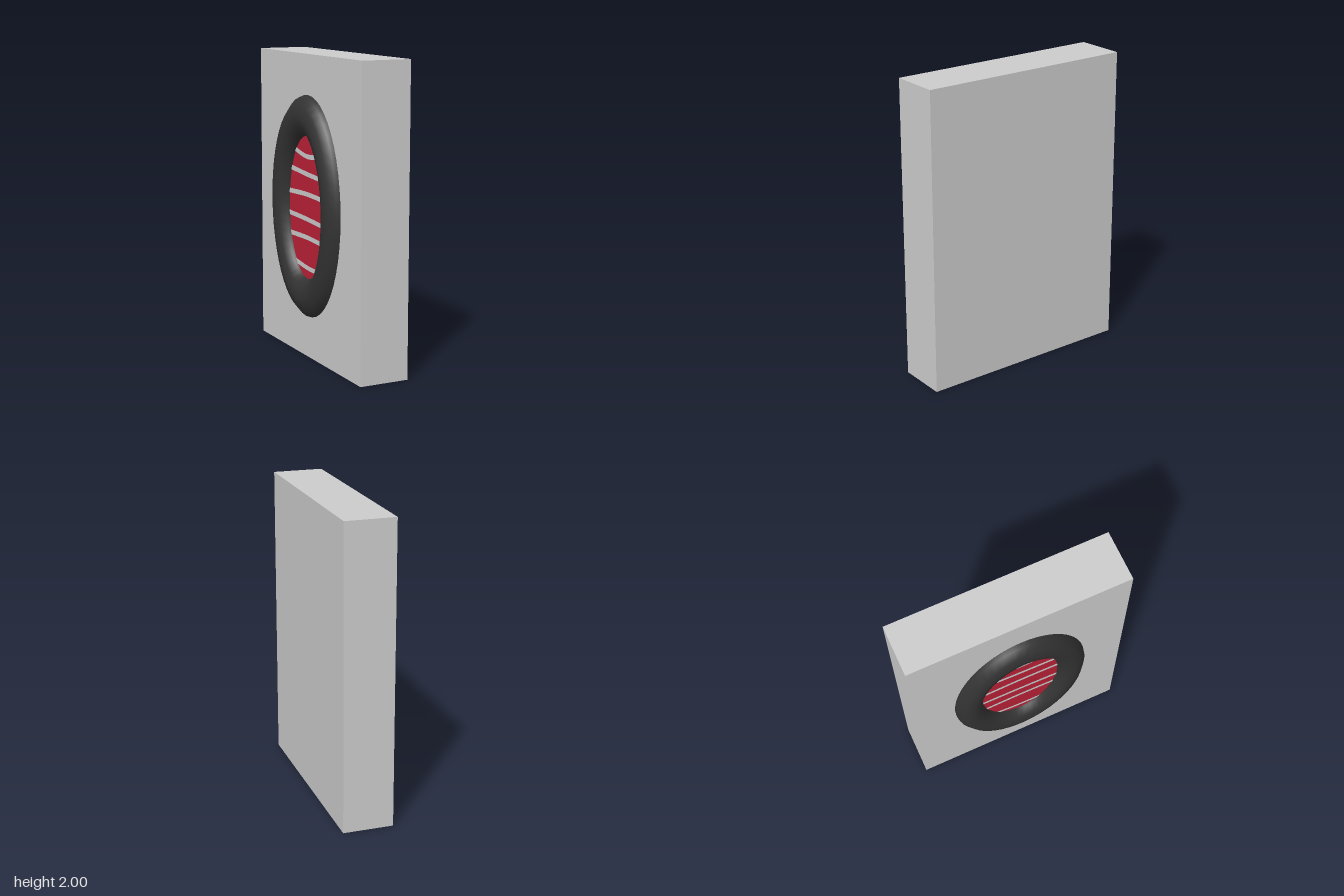
import * as THREE from 'three';
import { mergeVertices } from 'three/addons/utils/BufferGeometryUtils.js';

export function createModel() {
  const model = new THREE.Group();
  model.name = 'framedPanel';

  const grey = new THREE.MeshStandardMaterial({ color: 0xcccccc });
  grey.name = 'light grey';
  const black = new THREE.MeshStandardMaterial({ color: 0x333333 });
  black.name = 'black rubber';
  const red = new THREE.MeshStandardMaterial({ color: 0xba2036 });
  red.name = 'red';

  const add = (name, geometry, material, x, y) => {
    const mesh = new THREE.Mesh(geometry, material);
    mesh.name = name;
    mesh.position.set(x, y, 0);
    model.add(mesh);
    return mesh;
  };

  // Upright slab
  add('slab', new THREE.BoxGeometry(0.333, 2, 1.458), grey, 0.042, 1);

  // Oval ring, half sunk into the slab, its tube wider at top and bottom
  const ringGeometry = new THREE.TorusGeometry(1, 0.25, 12, 48);
  const p = ringGeometry.attributes.position;
  for (let i = 0; i < p.count; i++) {
    const x = p.getX(i), y = p.getY(i);
    const rho = Math.hypot(x, y);
    const tube = (rho - 1) / 0.25;
    p.setXYZ(i,
      (x / rho) * (0.363 + 0.105 * tube),
      (y / rho) * (0.6 + 0.142 * tube),
      (p.getZ(i) / 0.25) * 0.114);
  }
  ringGeometry.deleteAttribute('uv');
  ringGeometry.deleteAttribute('normal');
  const smoothRing = mergeVertices(ringGeometry, 1e-5);
  smoothRing.computeVertexNormals();
  smoothRing.rotateY(-Math.PI / 2);
  add('ovalRing', smoothRing, black, -0.09, 1.005).rotation.z = 0.01;

  // Red oval inside the ring
  const oval = new THREE.Shape();
  oval.absellipse(0, 0, 0.29, 0.5, 0, Math.PI * 2);
  const ovalGeometry = new THREE.ShapeGeometry(oval, 32).rotateY(-Math.PI / 2);
  add('redOval', ovalGeometry, red, -0.128, 1.005);

  // Wavy grey stripes: heights at the back, middle and front, and half length
  const stripes = [
    [0.37, 0.335, 0.355, 0.19],
    [0.24, 0.22, 0.206, 0.26],
    [0.078, 0.088, 0.078, 0.28],
    [-0.069, -0.076, -0.092, 0.28],
    [-0.204, -0.198, -0.21, 0.265],
    [-0.38, -0.4, -0.405, 0.175],
  ];
  const half = 0.016;
  for (const [a, b, c, w] of stripes) {
    const line = new THREE.SplineCurve([
      new THREE.Vector2(-w, a), new THREE.Vector2(0, b), new THREE.Vector2(w, c),
    ]).getPoints(12);
    const outline = [
      ...line.map((q) => new THREE.Vector2(q.x, q.y - half)),
      ...line.map((q) => new THREE.Vector2(q.x, q.y + half)).reverse(),
    ];
    const geometry = new THREE.ShapeGeometry(new THREE.Shape(outline)).rotateY(-Math.PI / 2);
    add('stripe', geometry, grey, -0.131, 1.005);
  }

  return model;
}
